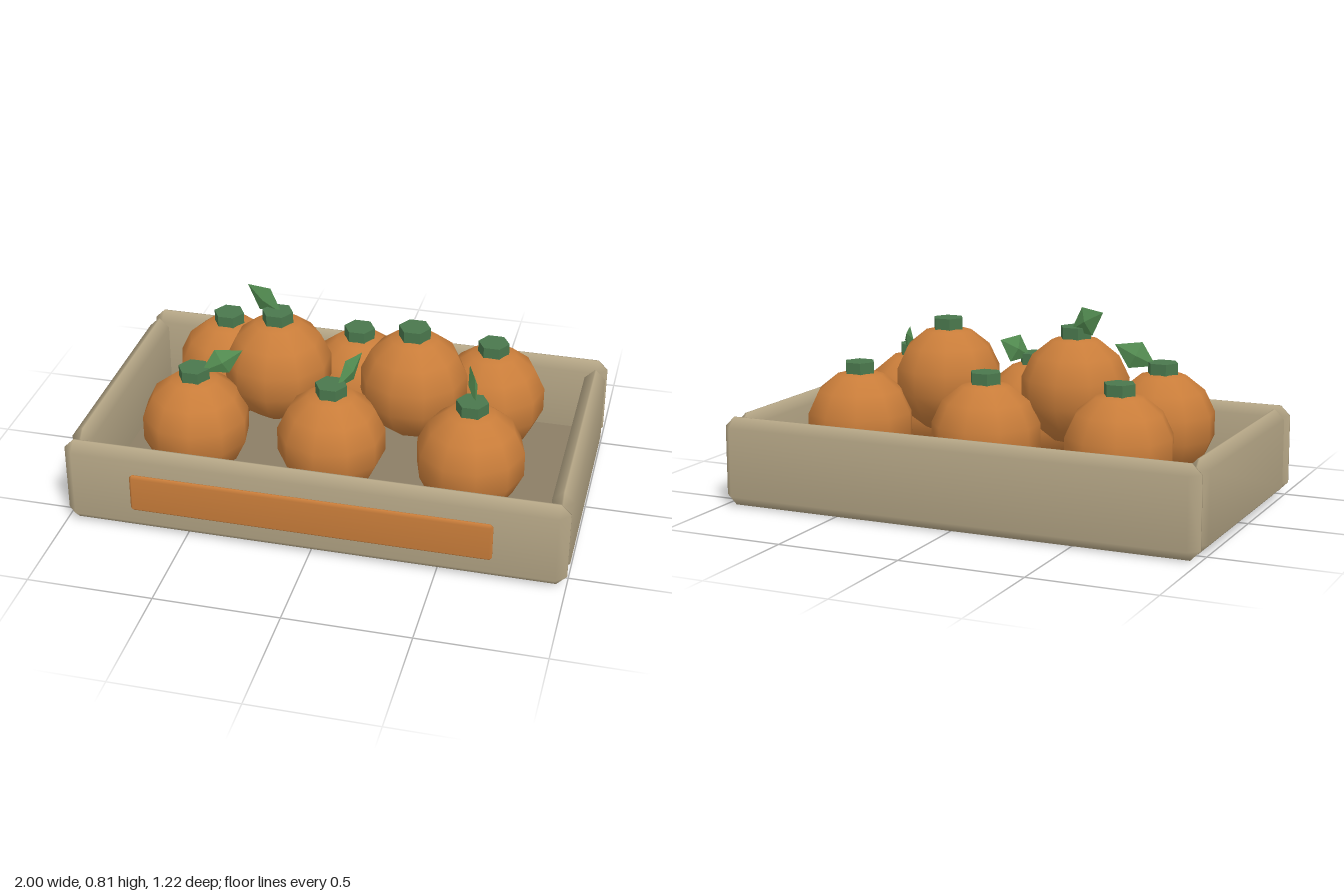
import * as THREE from 'three';
import { mergeVertices } from 'three/addons/utils/BufferGeometryUtils.js';
import { ConvexGeometry } from 'three/addons/geometries/ConvexGeometry.js';

const material = (name, color) => {
  const m = new THREE.MeshStandardMaterial({ color });
  m.name = name;
  return m;
};

// Box with every edge cut at 45 degrees and softly blended normals
function chamferBox(w, h, d, c) {
  const [x, y, z] = [w / 2, h / 2, d / 2];
  const points = [];
  for (const sx of [-1, 1]) for (const sy of [-1, 1]) for (const sz of [-1, 1]) {
    points.push(
      new THREE.Vector3(sx * x, sy * (y - c), sz * (z - c)),
      new THREE.Vector3(sx * (x - c), sy * y, sz * (z - c)),
      new THREE.Vector3(sx * (x - c), sy * (y - c), sz * z));
  }
  const g = new ConvexGeometry(points);
  g.deleteAttribute('normal');
  const smooth = mergeVertices(g);
  smooth.computeVertexNormals();
  return smooth;
}

export function createModel() {
  const model = new THREE.Group();
  model.name = 'fruitCrate';

  const wood = material('pale wood', 0xb5a686);
  const darkWood = material('dark wood', 0x8c7e66);
  const orange = material('orange', 0xc97d3a);
  const stemGreen = material('stem green', 0x4a784d);
  const leafGreen = material('leaf green', 0x569154);
  leafGreen.flatShading = true;

  const add = (name, geometry, mat, x, y, z, parent = model) => {
    const mesh = new THREE.Mesh(geometry, mat);
    mesh.name = name;
    mesh.position.set(x, y, z);
    parent.add(mesh);
    return mesh;
  };

  // Crate
  add('floor', new THREE.BoxGeometry(1.86, 0.045, 1.025), darkWood, 0, 0.0275, -0.0125);
  const longWall = chamferBox(2, 0.36, 0.086, 0.04);
  add('frontWall', longWall, wood, 0, 0.18, 0.545);
  add('backWall', longWall, wood, 0, 0.18, -0.568);
  const endWall = chamferBox(0.086, 0.36, 1.025, 0.04);
  add('leftWall', endWall, wood, 0.957, 0.18, -0.0125);
  add('rightWall', endWall, wood, -0.957, 0.18, -0.0125);
  add('frontPanel', chamferBox(1.436, 0.16, 0.026, 0.011), orange, 0, 0.185, 0.598);

  // Fruit: six in two rows, two resting on top
  const fruitGeometry = new THREE.SphereGeometry(0.22, 10, 7);
  const stemGeometry = new THREE.CylinderGeometry(0.064, 0.064, 0.049, 6).toNonIndexed();
  stemGeometry.rotateY(Math.PI / 2);
  stemGeometry.computeVertexNormals();
  const spots = [];
  for (const z of [-0.255, 0.225]) for (const x of [-0.56, 0, 0.56]) spots.push([x, 0.312, z]);
  for (const x of [-0.28, 0.28]) spots.push([x, 0.475, -0.015]);
  spots.forEach(([x, y, z], i) => {
    const fruit = new THREE.Group();
    fruit.name = 'fruit' + (i + 1);
    fruit.position.set(x, y, z);
    add('fruitBody', fruitGeometry, orange, 0, 0, 0, fruit).rotation.y = i * 0.37;
    add('stem', stemGeometry, stemGreen, 0, 0.227, 0, fruit);
    model.add(fruit);
  });

  // Leaves: flattened diamonds rising away from their stems
  const leafGeometry = new THREE.OctahedronGeometry(1);
  leafGeometry.scale(0.093, 0.06, 0.018);
  const leaves = [ // centre, then outward heading in x and z
    [-0.342, 0.755, -0.05, -0.14, -0.05],
    [-0.452, 0.589, 0.198, 0.14, -0.05],
    [0.055, 0.589, 0.148, 0.06, -0.14],
    [0.546, 0.589, 0.148, -0.05, -0.14],
  ];
  for (const [x, y, z, dx, dz] of leaves) {
    const leaf = add('leaf', leafGeometry, leafGreen, x, y, z);
    leaf.rotation.set(0, Math.atan2(-dz, dx), 0.48, 'YXZ');
  }
  return model;
}
